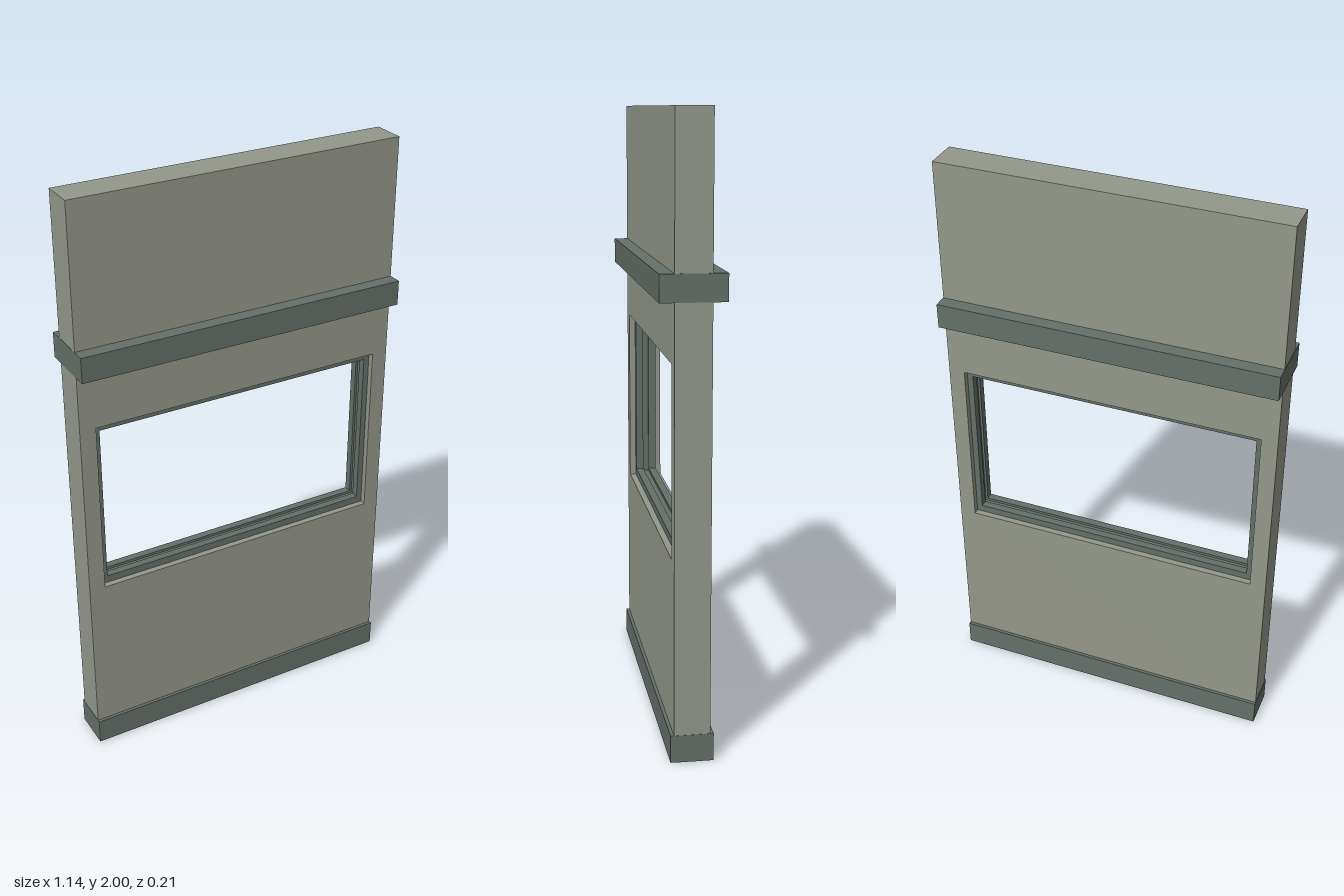
import * as THREE from 'three';

export function createModel() {
  const group = new THREE.Group();
  const wallMat = new THREE.MeshStandardMaterial({ color: 0x94978b });
  wallMat.name = 'wallGrey';
  const trimMat = new THREE.MeshStandardMaterial({ color: 0x656f69 });
  trimMat.name = 'trimGreyGreen';

  const add = (name, geometry, material) => {
    const mesh = new THREE.Mesh(geometry, material);
    mesh.name = name;
    group.add(mesh);
  };

  // Rectangle corners, symmetric in x
  const rect = (w, y0, y1) => [[-w, y0], [w, y0], [w, y1], [-w, y1]].map(([x, y]) => new THREE.Vector2(x, y));

  // Slab with a rectangular opening, between two depths
  const pierced = (outer, inner, z0, z1) => {
    const shape = new THREE.Shape(rect(...outer));
    shape.holes.push(new THREE.Path(rect(...inner).reverse()));
    return new THREE.ExtrudeGeometry(shape, { depth: z1 - z0, bevelEnabled: false }).translate(0, 0, z0);
  };

  // Full-width moulding wrapping both sides of the wall
  const moulding = (y0, y1, depth) =>
    new THREE.BoxGeometry(1.142, y1 - y0, depth).translate(0, (y0 + y1) / 2, 0);

  const opening = [0.515, 0.645, 1.25];
  const frameInner = [0.495, 0.67, 1.225];
  const grooveInner = [0.503, 0.661, 1.234];

  // Wall panel
  add('wall', pierced([0.57, 0, 2], opening, -0.057, 0.057), wallMat);

  // Skirting and chair rail
  add('skirting', moulding(0.001, 0.09, 0.136), trimMat);
  add('rail', moulding(1.44, 1.525, 0.206), trimMat);

  // Recessed window frame with a glazing groove
  add('frameFront', pierced(opening, frameInner, 0.01, 0.036), trimMat);
  add('frameGroove', pierced(opening, grooveInner, -0.01, 0.01), trimMat);
  add('frameBack', pierced(opening, frameInner, -0.036, -0.01), trimMat);

  return group;
}
